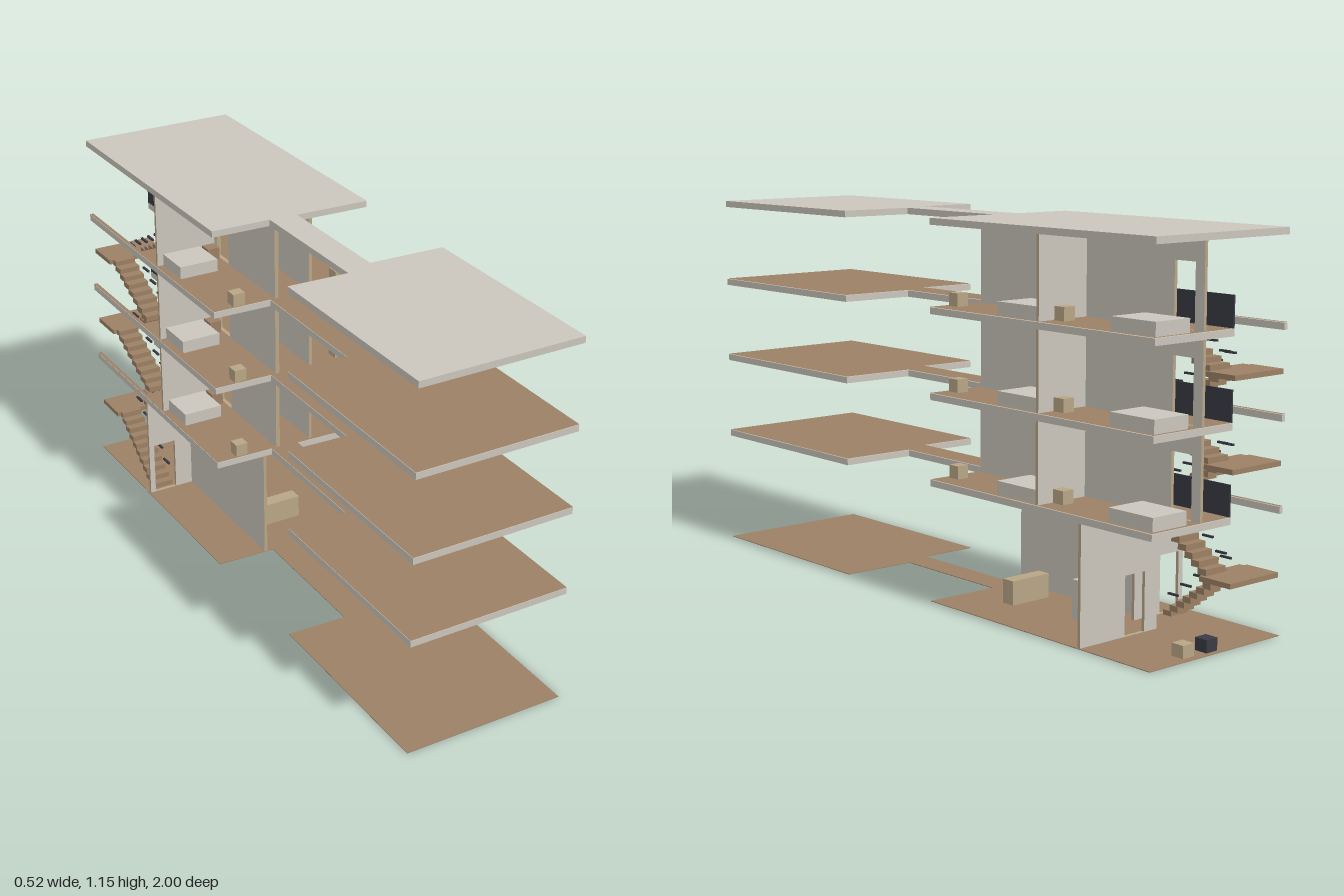
import * as THREE from 'three';

const mat = (name, color) => {
  const m = new THREE.MeshStandardMaterial({ color });
  m.name = name;
  return m;
};

export function createModel() {
  const root = new THREE.Group();
  root.name = 'residentialBlock';
  const plaster = mat('plaster', 0xcac5bc);
  const tan = mat('tanTimber', 0xb8a585);
  const brown = mat('brownFloor', 0x9c8064);
  const navy = mat('darkMetal', 0x3a3b44);

  const add = (parent, name, geo, material) => {
    const mesh = new THREE.Mesh(geo, material);
    mesh.name = name;
    parent.add(mesh);
    return mesh;
  };
  // box given by its extents on each axis
  const box = (parent, name, material, [x0, x1], [y0, y1], [z0, z1]) => {
    const geo = new THREE.BoxGeometry(Math.abs(x1 - x0), Math.abs(y1 - y0), Math.abs(z1 - z0));
    add(parent, name, geo, material).position.set((x0 + x1) / 2, (y0 + y1) / 2, (z0 + z1) / 2);
  };
  const rect = (Type, a, b, c, d) => {
    const s = new Type();
    s.moveTo(a, c).lineTo(b, c).lineTo(b, d).lineTo(a, d).closePath();
    return s;
  };

  // storey plate outline: two blocks joined by a narrow bridge
  const outline = (stairwell) => {
    const rear = stairwell
      ? [[-0.045, -1], [-0.045, -0.63], [-0.248, -0.63], [-0.248, -1], [-0.26, -1]]
      : [[-0.26, -1]];
    const pts = [
      [-0.26, -0.105], [-0.07, -0.1], [-0.07, 0.35], [-0.26, 0.343], [-0.26, 1], [0.255, 1],
      [0.258, 0.328], [0.02, 0.32], [0.02, -0.093], [0.258, -0.085], [0.258, -1], ...rear,
    ];
    return new THREE.Shape(pts.map(([x, z]) => new THREE.Vector2(x, -z)));
  };
  const slab = (parent, name, shape, y, depth, material) => {
    const geo = new THREE.ExtrudeGeometry(shape, { depth, bevelEnabled: false });
    add(parent, name, geo.rotateX(-Math.PI / 2), material).position.y = y;
  };

  // wall with rectangular openings; its thin edges are timber
  const wall = (parent, name, facing, at, thick, [a, b], [y0, y1], openings = []) => {
    const s = facing === 'x' ? -1 : 1;
    const shape = rect(THREE.Shape, s * a, s * b, y0, y1);
    for (const [p, q, h] of openings) {
      shape.holes.push(rect(THREE.Path, s * p, s * q, y0 + 0.001, y0 + h));
    }
    const geo = new THREE.ExtrudeGeometry(shape, { depth: thick, bevelEnabled: false });
    if (facing === 'x') geo.rotateY(Math.PI / 2);
    add(parent, name, geo, [plaster, tan]).position[facing] = at;
  };

  // half-turn staircase with a rear landing
  const staircase = (parent, y0, y1, steps) => {
    const g = new THREE.Group();
    g.name = 'staircase';
    parent.add(g);
    const mid = (y0 + y1) / 2, rise = (mid - y0) / steps, run = 0.255 / steps;
    for (let i = 0; i < steps; i++) {
      const z = -0.64 - i * run;
      const lower = y0 + (i + 1) * rise, upper = y1 - i * rise;
      box(g, 'lowerStep', brown, [-0.235, -0.165], [lower - 0.018, lower], [z - run - 0.006, z]);
      box(g, 'upperStep', brown, [-0.14, -0.06], [upper - 0.018, upper], [z - run - 0.006, z]);
    }
    box(g, 'landing', brown, [-0.248, -0.05], [mid - 0.015, mid], [-1, -0.885]);
    // short handrail pieces following each flight
    for (let i = 0; i < 5; i++) {
      const z = -0.66 - i * 0.05, t = (i + 0.5) / 5;
      const ry = y0 + 0.05 + t * (mid - y0), ty = y1 + 0.03 - t * (y1 - mid);
      box(g, 'lowerRailPiece', navy, [-0.168, -0.161], [ry, ry + 0.006], [z - 0.04, z]);
      box(g, 'upperRailPiece', navy, [-0.147, -0.14], [ty, ty + 0.006], [z - 0.04, z]);
    }
  };

  // ground storey
  const ground = new THREE.Group();
  ground.name = 'groundStorey';
  root.add(ground);
  slab(ground, 'groundFloor', outline(false), 0.001, 0.002, brown);
  const gy = [0.003, 0.356];
  wall(ground, 'lobbySideWall', 'x', -0.1, 0.01, [-0.1, -0.62], gy);
  wall(ground, 'stairDoorWall', 'z', -0.63, 0.01, [-0.255, -0.055], gy, [[-0.237, -0.16, 0.177]]);
  wall(ground, 'rearDoorWall', 'z', -0.73, 0.01, [-0.045, 0.255], gy, [[0.005, 0.083, 0.177]]);
  box(ground, 'receptionDesk', tan, [-0.037, 0.107], [0, 0.077], [-0.285, -0.24]);
  box(ground, 'lobbyCabinet', plaster, [0.02, 0.068], [0, 0.121], [-0.65, -0.5]);
  box(ground, 'tanBin', tan, [0.067, 0.11], [0, 0.04], [-0.98, -0.937]);
  box(ground, 'darkBin', navy, [-0.02, 0.023], [0, 0.04], [-0.985, -0.942]);
  staircase(ground, 0, 0.375, 10);

  // upper storeys
  const levels = [0.375, 0.635, 0.89, 1.15];
  for (let i = 0; i < 3; i++) {
    const y = levels[i], top = levels[i + 1] - 0.02;
    const g = new THREE.Group();
    g.name = 'upperStorey' + (i + 1);
    root.add(g);
    slab(g, 'floorSlab', outline(true), y - 0.021, 0.02, plaster);
    const finish = new THREE.ShapeGeometry(outline(true)).rotateX(-Math.PI / 2);
    add(g, 'floorFinish', finish, brown).position.y = y + 0.0005;

    // corridor walls and room dividers
    const h = [y, top];
    wall(g, 'corridorWallLeft', 'x', 0.065, 0.01, [-0.1, -1], h,
      [[-0.44, -0.515, 0.183], [-0.892, -0.967, 0.183]]);
    wall(g, 'corridorWallRight', 'x', -0.054, 0.013, [-0.1, -0.505], h, [[-0.4, -0.475, 0.183]]);
    wall(g, 'dividerLeft', 'z', -0.555, 0.01, [0.075, 0.255], h);
    wall(g, 'dividerRight', 'z', -0.505, 0.01, [-0.255, -0.054], h);
    box(g, 'stairGuard', navy, [-0.045, -0.04], [y, y + 0.09], [-1, -0.62]);

    // furniture
    const bedY = [y, y + 0.04];
    box(g, 'bed', plaster, [0.117, 0.245], bedY, [-0.54, -0.37]);
    box(g, 'bed', plaster, [0.117, 0.245], bedY, [-0.99, -0.825]);
    box(g, 'bed', plaster, [-0.237, -0.108], bedY, [-0.49, -0.37]);
    box(g, 'nightstand', tan, [0.16, 0.2], bedY, [-0.142, -0.102]);
    box(g, 'nightstand', tan, [0.16, 0.2], bedY, [-0.598, -0.558]);
    box(g, 'nightstand', tan, [-0.192, -0.152], bedY, [-0.145, -0.108]);
    box(g, 'chest', brown, [-0.1, -0.06], bedY, [-0.49, -0.45]);

    if (i < 2) staircase(g, y, levels[i + 1], 8);
  }

  slab(root, 'roofSlab', outline(false), 1.13, 0.02, plaster);
  return root;
}
